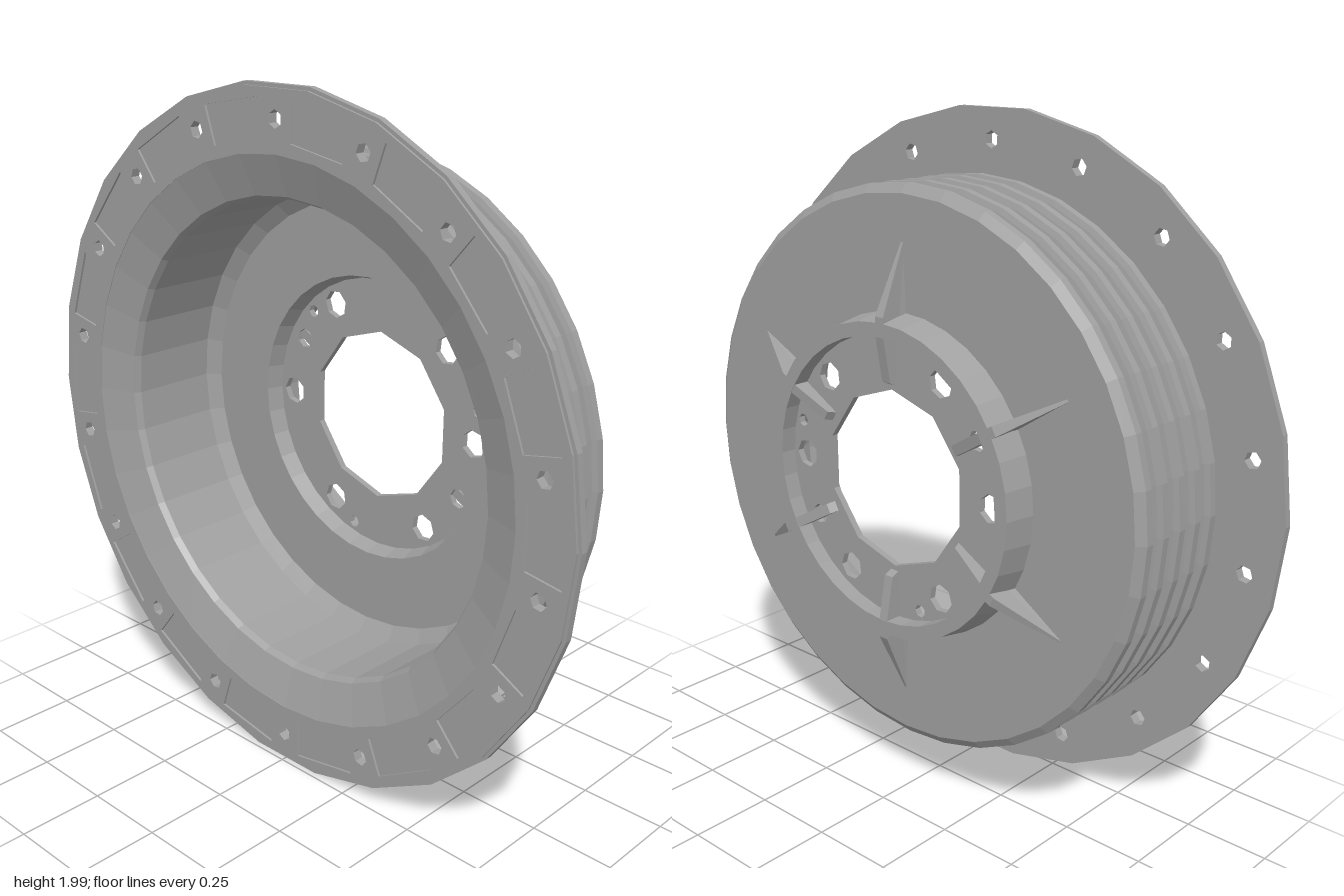
import * as THREE from 'three';

const rad = THREE.MathUtils.degToRad;

// Regular polygon as a list of points
function ring(cx, cy, r, n, start = 0) {
  return Array.from({ length: n }, (_, i) => {
    const a = start + (i / n) * Math.PI * 2;
    return new THREE.Vector2(cx + r * Math.cos(a), cy + r * Math.sin(a));
  });
}

// Hole outline at a polar position
const polarHole = (deg, dist, r, n = 7) =>
  new THREE.Path(ring(dist * Math.cos(rad(deg)), dist * Math.sin(rad(deg)), r, n, rad(deg)));

// Flat plate with holes between two depths
function plate(outline, holes, z0, z1) {
  const shape = new THREE.Shape(outline);
  shape.holes.push(...holes);
  const g = new THREE.ExtrudeGeometry(shape, { depth: z1 - z0, bevelEnabled: false });
  return g.translate(0, 0, z0);
}

export function createModel() {
  const model = new THREE.Group();
  const drum = new THREE.Group();
  drum.name = 'brakeDrum';
  drum.position.y = 1;
  model.add(drum);

  const iron = new THREE.MeshStandardMaterial({ color: 0xa0a0a0, flatShading: true });
  iron.name = 'castIron';
  const add = (name, geometry) => {
    const mesh = new THREE.Mesh(geometry, iron);
    mesh.name = name;
    drum.add(mesh);
    return mesh;
  };

  // Drum shell: hub ring, back face, five cooling fins, then the hollow inside
  const profile = [[0.415, -0.24], [0.455, -0.24], [0.47, -0.15], [0.79, -0.15]];
  [-0.12, -0.05, 0.022, 0.093, 0.165].forEach((z, i) => {
    if (i > 0) profile.push([0.71, z - 0.036], [0.8, z - 0.017]);
    profile.push([0.815, z - 0.012], [0.815, z + 0.012], [0.8, z + 0.017]);
  });
  profile.push(
    [0.71, 0.2], [0.72, 0.212], [0.82, 0.212], [0.82, 0.24],
    [0.7, 0.2], [0.69, 0.18], [0.69, -0.09], [0.65, -0.12],
    [0.43, -0.12], [0.415, -0.17], [0.415, -0.24],
  );
  const shell = new THREE.LatheGeometry(profile.map(([r, z]) => new THREE.Vector2(r, z)), 36);
  add('finnedShell', shell.rotateX(Math.PI / 2));

  // Flange: bolt holes go through, shallow pockets only cut the front layer
  const boltHoles = [];
  const pockets = [];
  for (let i = 0; i < 18; i++) {
    boltHoles.push(polarHole(10 + i * 20, 0.905, 0.025, 6));
    const corners = [[0.843, -0.093], [0.954, -0.11], [0.954, 0.11], [0.843, 0.093]];
    pockets.push(new THREE.Path(corners.map(([x, y]) =>
      new THREE.Vector2(x, y).rotateAround(new THREE.Vector2(), rad(i * 20)))));
  }
  const bore = () => new THREE.Path(ring(0, 0, 0.815, 36));
  add('flangeBack', plate(ring(0, 0, 1, 26), [bore(), ...boltHoles], 0.212, 0.233));
  add('flangeFront', plate(ring(0, 0, 0.99, 26), [bore(), ...boltHoles, ...pockets], 0.233, 0.24));

  // Hub plate with centre bore, wheel bolt holes and small threaded holes
  const hubHoles = [new THREE.Path(ring(0, 0, 0.26, 10, 0.3))];
  [0, 45, 120, 180, 240, 300].forEach((a) => hubHoles.push(polarHole(a, 0.358, 0.042)));
  [150, 330].forEach((a) => hubHoles.push(polarHole(a, 0.358, 0.03)));
  [135, 15, 255].forEach((a) => hubHoles.push(polarHole(a, 0.385, 0.019)));
  add('hubPlate', plate(ring(0, 0, 0.43, 30), hubHoles, -0.19, -0.17));

  // Six radial ribs crossing the hub ring, thinning towards their outer tips
  const ribOutline = [[0.27, -0.18], [0.285, -0.215], [0.42, -0.24], [0.47, -0.24], [0.66, -0.15], [0.66, -0.145], [0.46, -0.145], [0.42, -0.18]]
    .map(([r, z]) => new THREE.Vector2(r, z));
  const ribGeometry = plate(ribOutline, [], -0.015, 0.015);
  const p = ribGeometry.attributes.position;
  for (let i = 0; i < p.count; i++) if (p.getX(i) > 0.6) p.setZ(i, p.getZ(i) * 0.25);
  ribGeometry.rotateX(Math.PI / 2);
  for (let i = 0; i < 6; i++) add('hubRib', ribGeometry).rotation.z = rad(30 + i * 60);

  return model;
}
